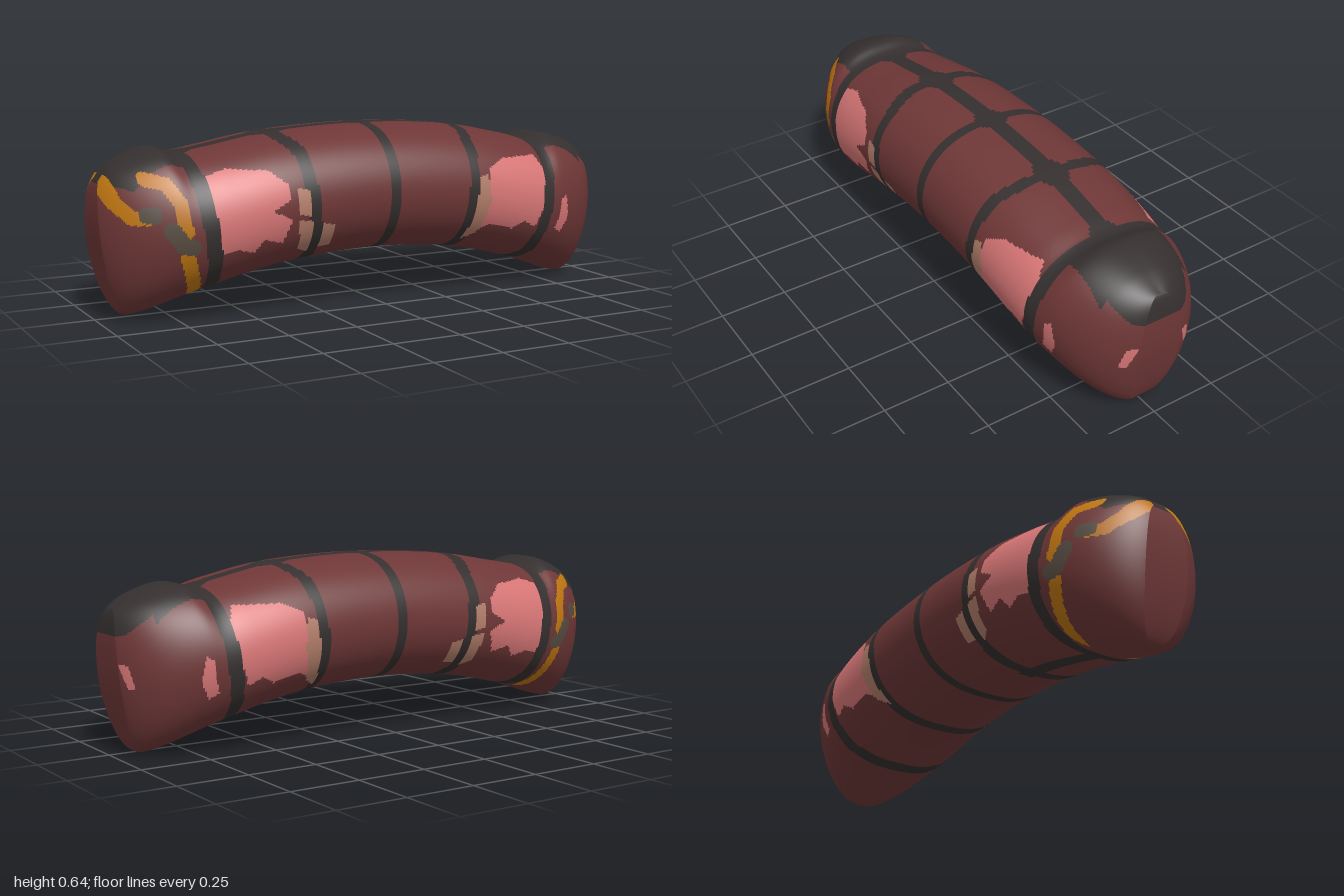
import * as THREE from 'three';

const COLORS = {
  maroon: 0x6f3737, charcoal: 0x35302f, pink: 0xd87676,
  tan: 0xb47f6b, orange: 0xbf7610, greyBrown: 0x574c42,
};
const NAMES = Object.keys(COLORS);

// Smooth height curve sampled by x
function heightCurve(points) {
  const pts = new THREE.SplineCurve(points.map(([x, y]) => new THREE.Vector2(x, y))).getPoints(200);
  return (x) => {
    let i = 1;
    while (i < pts.length - 1 && pts[i].x < x) i++;
    const a = pts[i - 1], b = pts[i];
    return THREE.MathUtils.lerp(a.y, b.y, THREE.MathUtils.clamp((x - a.x) / (b.x - a.x), 0, 1));
  };
}
const top = heightCurve([[-0.98, 0.48], [-0.93, 0.535], [-0.8, 0.585], [-0.72, 0.562], [-0.6, 0.578], [-0.35, 0.618],
  [0, 0.635], [0.35, 0.618], [0.6, 0.572], [0.7, 0.548], [0.78, 0.567], [0.9, 0.535], [0.98, 0.49]]);
const bottom = heightCurve([[-0.92, 0.03], [-0.88, 0.012], [-0.65, 0.085], [-0.35, 0.15], [0, 0.175],
  [0.35, 0.15], [0.65, 0.08], [0.88, 0.0], [0.92, 0.025]]);

// Body surface: s runs along the body, v runs round the section
function surface(s, v, closed) {
  const t = (1 - Math.cos(v)) / 2;
  const xb = 0.91 * s, xt = 0.975 * s;
  const side = Math.sin(v);
  const bulge = 0.05 * s * Math.abs(s) ** 8 * Math.abs(side / 2) ** 1.2 * 2 ** 1.2;
  const width = closed ? 0 : 0.305 * (1 - Math.abs(0.99 * s) ** 6.5) ** 0.45;
  return [
    THREE.MathUtils.lerp(xb, xt, t) + bulge,
    THREE.MathUtils.lerp(bottom(xb), top(xt), t),
    width * Math.sign(side) * Math.abs(side) ** 0.78,
  ];
}

// Tests for the painted markings
function inside(poly, x, y) {
  let hit = false;
  for (let i = 0, j = poly.length - 1; i < poly.length; j = i++) {
    const [ax, ay] = poly[i], [bx, by] = poly[j];
    if ((ay > y) !== (by > y) && x < ((bx - ax) * (y - ay)) / (by - ay) + ax) hit = !hit;
  }
  return hit;
}
function near(line, width, x, y) {
  for (let i = 1; i < line.length; i++) {
    const [ax, ay] = line[i - 1], [bx, by] = line[i];
    const dx = bx - ax, dy = by - ay;
    const k = THREE.MathUtils.clamp(((x - ax) * dx + (y - ay) * dy) / (dx * dx + dy * dy), 0, 1);
    if (Math.hypot(x - ax - k * dx, y - ay - k * dy) < width / 2) return true;
  }
  return false;
}

// Dark rings round the body
const RINGS = [
  { line: [[-0.72, 0.62], [-0.71, 0.545], [-0.68, 0.34], [-0.64, 0.1], [-0.63, 0.04]], width: 0.052 },
  { line: [[-0.39, 0.66], [-0.365, 0.615], [-0.33, 0.57], [-0.31, 0.4], [-0.275, 0.1]], width: 0.05 },
  { line: [[0.008, 0.66], [0.013, 0.1]], width: 0.036 },
  { line: [[0.4, 0.66], [0.38, 0.612], [0.355, 0.57], [0.335, 0.37], [0.32, 0.1]], width: 0.042 },
  { line: [[0.72, 0.62], [0.705, 0.545], [0.68, 0.34], [0.635, 0.11], [0.62, 0.04]], width: 0.05 },
];
// Dark end caps
const CAPS = [
  [[-1.05, 0.47], [-0.96, 0.47], [-0.88, 0.45], [-0.8, 0.47], [-0.73, 0.45], [-0.69, 0.44], [-0.7, 0.7], [-1.05, 0.7]],
  [[0.7, 0.7], [0.7, 0.5], [0.78, 0.49], [0.85, 0.455], [0.92, 0.42], [1.05, 0.4], [1.05, 0.7]],
];
// Side patches
const PINK = [
  [[-0.67, 0.5], [-0.6, 0.52], [-0.46, 0.51], [-0.4, 0.46], [-0.4, 0.41], [-0.46, 0.375], [-0.39, 0.34], [-0.42, 0.26],
    [-0.49, 0.28], [-0.52, 0.235], [-0.58, 0.25], [-0.64, 0.24], [-0.665, 0.37]],
  [[0.41, 0.47], [0.49, 0.5], [0.65, 0.5], [0.67, 0.45], [0.66, 0.33], [0.62, 0.235], [0.57, 0.26], [0.52, 0.235],
    [0.42, 0.26], [0.36, 0.23], [0.37, 0.29], [0.4, 0.37]],
  [[0.74, 0.33], [0.77, 0.345], [0.785, 0.26], [0.755, 0.2], [0.72, 0.22], [0.74, 0.27]],
];
const END_MARK = [[0.088, 0.315], [0.1, 0.32], [0.125, 0.31], [0.138, 0.265], [0.14, 0.235], [0.118, 0.235], [0.105, 0.27]];
const TAN = [
  [[0.36, 0.44], [0.4, 0.45], [0.41, 0.35], [0.38, 0.23], [0.33, 0.2], [0.345, 0.3]],
  [[-0.375, 0.45], [-0.325, 0.44], [-0.32, 0.35], [-0.37, 0.36]],
  [[-0.365, 0.34], [-0.31, 0.33], [-0.3, 0.21], [-0.35, 0.23]],
  [[-0.27, 0.32], [-0.225, 0.31], [-0.225, 0.23], [-0.27, 0.23]],
];
// Orange strokes and their grey-brown joints
const STROKES = [
  [[-0.985, 0.485], [-0.965, 0.42], [-0.92, 0.37], [-0.87, 0.37]],
  [[-0.87, 0.495], [-0.81, 0.48], [-0.775, 0.42], [-0.76, 0.32]],
  [[-0.755, 0.24], [-0.73, 0.17], [-0.7, 0.1]],
];
const JOINTS = [[[-0.875, 0.38], [-0.86, 0.38]], [[-0.805, 0.33], [-0.77, 0.28], [-0.74, 0.27]]];

function colourAt(x, y, z) {
  const w = Math.abs(z), poly = (p) => inside(p, x, y);
  const middle = (top(x) + bottom(x)) / 2;
  if (w > 0.03) {
    if (JOINTS.some((l) => near(l, 0.055, x, y))) return 'greyBrown';
    if (STROKES.some((l) => near(l, 0.046, x, y))) return 'orange';
  }
  // Caps with rounded lower corners, and the stem below the right cap
  const lift = 0.1 * Math.max(0, (w - 0.09) / 0.085) ** 2;
  if (w < 0.175 && CAPS.some((p) => inside(p, x, y - (x > 0.9 ? lift : 0)))) return 'charcoal';
  if (x > 0.85 && y > 0.27 && w < (y > 0.37 ? 0.018 : 0.009)) return 'charcoal';
  // Spine, widening where it meets a ring
  if (Math.abs(x) < 0.8 && y > middle + 0.1) {
    const flare = [0.03, 0.06, 0.09].filter((d) => RINGS.some((r) => near(r.line, r.width + d, x, y))).length;
    if (w < 0.028 + 0.009 * flare) return 'charcoal';
  }
  // Short belly stripe
  if (x > -0.64 && x < -0.24 && y < middle && w < 0.03) return 'charcoal';
  if (TAN.slice(0, 3).some(poly)) return 'tan';
  if (RINGS.some((r) => near(r.line, r.width, x, y))) return 'charcoal';
  if (TAN.some(poly)) return 'tan';
  if (PINK.some(poly) || (x > 0.8 && inside(END_MARK, w, y))) return 'pink';
  return 'maroon';
}

export function createModel() {
  const NS = 300, NV = 224;
  const positions = [];
  // The first and last rings close the blunt ends
  for (let i = 0; i <= NS; i++) {
    const s = Math.sin((THREE.MathUtils.clamp((i - 1) / (NS - 2), 0, 1) - 0.5) * Math.PI);
    for (let j = 0; j < NV; j++) positions.push(...surface(s, (j / NV) * Math.PI * 2, i === 0 || i === NS));
  }

  // Sort the faces by colour
  const faces = NAMES.map(() => []);
  for (let i = 0; i < NS; i++) {
    for (let j = 0; j < NV; j++) {
      const k = (j + 1) % NV;
      const a = i * NV + j, b = a + NV, c = (i + 1) * NV + k, d = i * NV + k;
      const mid = [0, 1, 2].map((n) => (positions[a * 3 + n] + positions[b * 3 + n]
        + positions[c * 3 + n] + positions[d * 3 + n]) / 4);
      faces[NAMES.indexOf(colourAt(...mid))].push(a, b, c, a, c, d);
    }
  }

  const geometry = new THREE.BufferGeometry();
  geometry.setAttribute('position', new THREE.Float32BufferAttribute(positions, 3));
  geometry.setIndex(faces.flat());
  let start = 0;
  faces.forEach((list, m) => {
    geometry.addGroup(start, list.length, m);
    start += list.length;
  });
  geometry.computeVertexNormals();

  const materials = NAMES.map((name) => {
    const material = new THREE.MeshStandardMaterial({ color: COLORS[name] });
    material.name = name;
    return material;
  });
  const body = new THREE.Mesh(geometry, materials);
  body.name = 'body';
  const group = new THREE.Group();
  group.name = 'curvedBody';
  group.add(body);
  return group;
}
